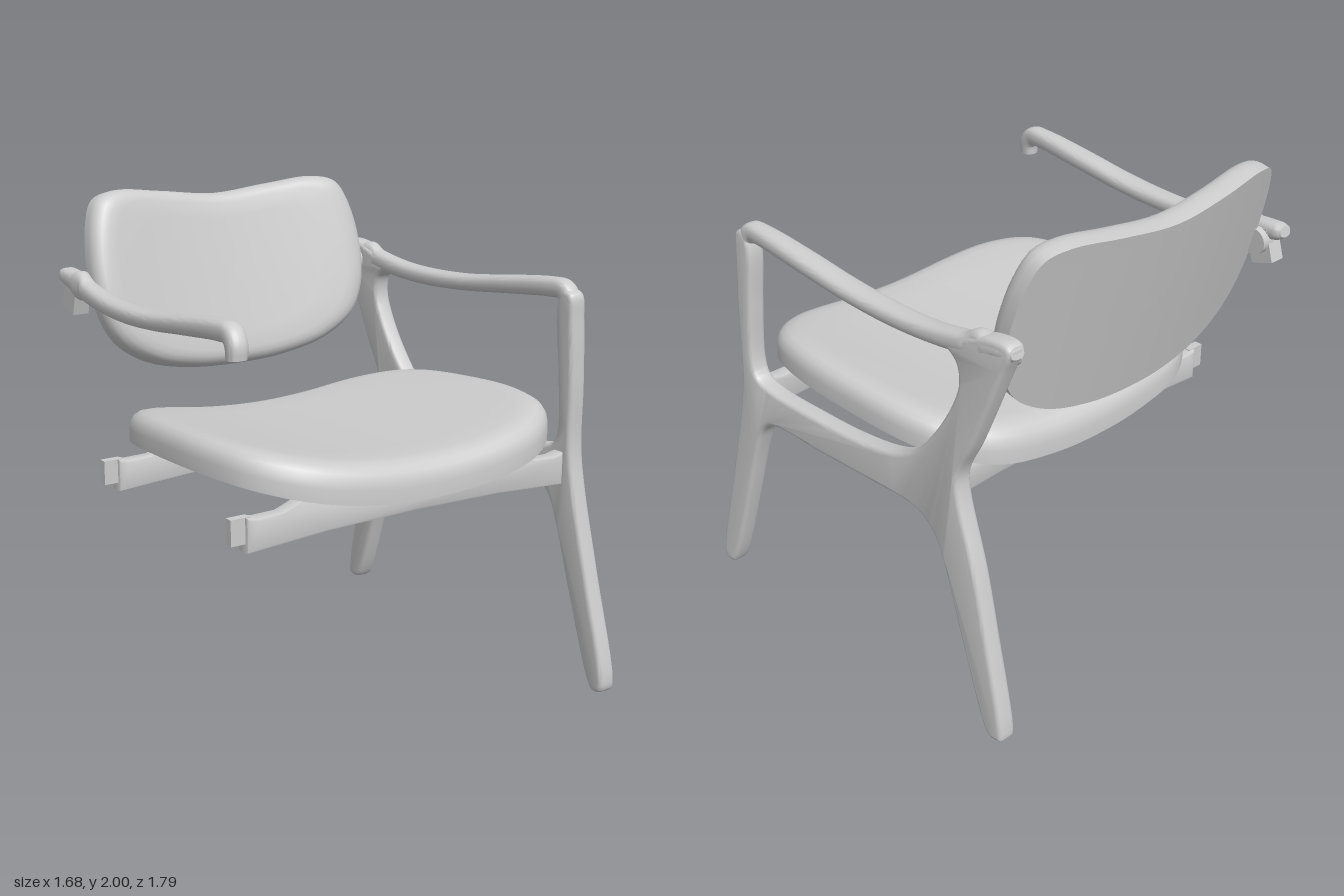
import * as THREE from 'three';
import { toCreasedNormals } from 'three/addons/utils/BufferGeometryUtils.js';

const CX = -0.03; // symmetry plane of the chair
const paint = new THREE.MeshStandardMaterial({ color: 0xcccccc });
paint.name = 'light grey';

function part(name, geo, crease = 0.6) {
  const mesh = new THREE.Mesh(toCreasedNormals(geo, crease), paint);
  mesh.name = name;
  return mesh;
}

// closed smooth outline through 2D points
function smooth(pts, n) {
  const curve = new THREE.CatmullRomCurve3(pts.map(([x, y]) => new THREE.Vector3(x, y, 0)), true, 'centripetal');
  return curve.getPoints(n).slice(0, n).map(p => new THREE.Vector2(p.x, p.y));
}

// skin over rings of equal length, capped at both ends, faces turned outward
function loft(rings) {
  const n = rings[0].length, verts = rings.flat(), idx = [];
  for (let r = 0; r + 1 < rings.length; r++)
    for (let i = 0; i < n; i++) {
      const a = r * n + i, b = r * n + (i + 1) % n;
      idx.push(a, b, b + n, a, b + n, a + n);
    }
  [0, rings.length - 1].forEach((r, end) => {
    const c = verts.length;
    verts.push(rings[r].reduce((s, p) => s.add(p), new THREE.Vector3()).divideScalar(n));
    for (let i = 0; i < n; i++) {
      const a = r * n + i, b = r * n + (i + 1) % n;
      if (end) idx.push(a, b, c); else idx.push(b, a, c);
    }
  });
  let vol = 0;
  const cross = new THREE.Vector3();
  for (let i = 0; i < idx.length; i += 3)
    vol += verts[idx[i]].dot(cross.crossVectors(verts[idx[i + 1]], verts[idx[i + 2]]));
  if (vol < 0) idx.reverse();
  const geo = new THREE.BufferGeometry().setFromPoints(verts);
  geo.setIndex(idx);
  geo.computeVertexNormals();
  return geo;
}

// padded slab: flat sharp back, rounded face; place(u, v, h) bends it into position
function cushion(half, centreV, thick, place) {
  const mirrored = half.slice(1, -1).reverse().map(([x, y]) => [-x, y]);
  const outline = smooth([...half, ...mirrored], 100);
  const section = [[0.03, 0], [0.3, 0], [0.55, 0], [0.8, 0], [1, 0], [1, 0.35], [0.993, 0.55], [0.975, 0.73],
    [0.945, 0.87], [0.9, 0.96], [0.84, 1], [0.65, 1], [0.45, 1], [0.25, 1], [0.03, 1]];
  return loft(section.map(([s, h]) =>
    outline.map(p => place(p.x * s, centreV + (p.y - centreV) * s, h * thick))));
}

// the side frame leans inward toward the top and toes outward at the front
const frameX = (y, z) => 0.775 - 0.033 * y + 0.03 * z;

function sideFrame() {
  // outline in (-z, y): front foot, underside, rear leg, upright, inner curve, front post
  const pts = [[-0.905, 0.05], [-0.89, 0.012], [-0.845, 0.008], [-0.815, 0.05], [-0.7, 0.4], [-0.61, 0.7],
    [-0.565, 0.8], [-0.5, 0.843], [-0.2, 0.85], [0.1, 0.858], [0.36, 0.853], [0.45, 0.8], [0.505, 0.705],
    [0.62, 0.38], [0.745, 0.05], [0.775, 0.015], [0.835, 0.018], [0.84, 0.05], [0.75, 0.44], [0.68, 0.715],
    [0.583, 1.02], [0.583, 1.1], [0.65, 1.24], [0.79, 1.58], [0.825, 1.67], [0.81, 1.695], [0.71, 1.695],
    [0.6, 1.655], [0.51, 1.6], [0.565, 1.545], [0.578, 1.47], [0.545, 1.37], [0.465, 1.235], [0.36, 1.11],
    [0.28, 1.06], [0.2, 1.033], [0, 1.005], [-0.25, 0.997], [-0.52, 1.005], [-0.595, 1.032], [-0.62, 1.1],
    [-0.615, 1.35], [-0.605, 1.6], [-0.64, 1.665], [-0.685, 1.65], [-0.695, 1.55], [-0.7, 1.28],
    [-0.694, 1.02], [-0.72, 0.84], [-0.8, 0.5]];
  const geo = new THREE.ExtrudeGeometry(new THREE.Shape(smooth(pts, 300)), {
    depth: 0.044, bevelThickness: 0.018, bevelSize: 0.018, bevelOffset: -0.018, bevelSegments: 3,
  });
  geo.translate(0, 0, -0.022).rotateY(Math.PI / 2);
  const p = geo.attributes.position;
  for (let i = 0; i < p.count; i++) p.setX(i, p.getX(i) + frameX(p.getY(i), p.getZ(i)));
  return part('sideFrame', geo, 0.7);
}

// swept arm with a down-turned front; stations are z, y, half height, half width
function armrest(name, side) {
  const stations = [[0.648, 1.575, 0.034, 0.036], [0.645, 1.625, 0.038, 0.039], [0.615, 1.66, 0.04, 0.04],
    [0.55, 1.663, 0.04, 0.043], [0.3, 1.638, 0.038, 0.052], [0.04, 1.608, 0.035, 0.054],
    [-0.2, 1.595, 0.036, 0.05], [-0.4, 1.6, 0.037, 0.045], [-0.6, 1.625, 0.042, 0.041],
    [-0.7, 1.648, 0.042, 0.041], [-0.8, 1.662, 0.033, 0.04], [-0.825, 1.668, 0.022, 0.03]];
  const path = new THREE.CatmullRomCurve3(stations.map(s => new THREE.Vector3(0, s[1], s[0])), false, 'centripetal');
  const size = new THREE.CatmullRomCurve3(stations.map(s => new THREE.Vector3(s[2], s[3], 0)));
  const rings = [], steps = 66, pow = v => Math.sign(v) * Math.abs(v) ** 0.75;
  for (let k = 0; k <= steps; k++) {
    const c = path.getPoint(k / steps), t = path.getTangent(k / steps), s = size.getPoint(k / steps);
    rings.push(Array.from({ length: 24 }, (_, i) => {
      const a = i / 24 * Math.PI * 2, h = pow(Math.sin(a)) * s.x;
      const x = frameX(c.y, c.z) - CX + pow(Math.cos(a)) * s.y;
      return new THREE.Vector3(CX + side * x, c.y - t.z * h, c.z + t.y * h);
    }));
  }
  return part(name, loft(rings));
}

// cross rail cut to the seat curve, with an open tenon on the right end
function rail(name, y, z) {
  const g = new THREE.Group();
  g.name = name;
  const half = [[0.75, 0.865], [0.75, 1.0], [0.7, 0.99], [0.6, 0.992], [0.55, 1.01], [0.5, 1.032],
    [0.35, 1.005], [0.2, 0.985], [0, 0.978]];
  const under = [[0, 0.892], [0.4, 0.885]];
  const right = [...half, ...half.slice(0, -1).reverse().map(([x, v]) => [-x, v])];
  const ring = [...right, [-0.4, 0.885], ...under];
  const geo = new THREE.ExtrudeGeometry(new THREE.Shape(ring.map(p => new THREE.Vector2(...p))), {
    depth: 0.046, bevelThickness: 0.01, bevelSize: 0.01, bevelOffset: -0.01, bevelSegments: 2,
  });
  geo.translate(CX, 0, -0.023);
  const tenon = new THREE.BoxGeometry(0.08, 0.1, 0.035).translate(-0.8, 0.95, 0);
  g.add(part('railBody', geo), part('railTenon', tenon));
  g.position.set(0, y, z);
  return g;
}

export function createModel() {
  const chair = new THREE.Group();
  chair.name = 'armchair';

  // seat cushion, dished across its width
  chair.add(part('seat', cushion(
    [[0, 0.8], [0.4, 0.785], [0.58, 0.725], [0.71, 0.6], [0.77, 0.38], [0.772, 0.05], [0.735, -0.24],
      [0.66, -0.4], [0.5, -0.51], [0.25, -0.54], [0, -0.545]], 0.13, 0.155,
    (u, v, h) => new THREE.Vector3(CX + u, 0.95 + 0.04 * v + 0.22 * u * u + h, v))));

  // backrest, leaning back and wrapping forward at the sides
  chair.add(part('backrest', cushion(
    [[0, 1.94], [0.28, 1.968], [0.5, 1.988], [0.6, 1.96], [0.65, 1.86], [0.675, 1.66], [0.655, 1.5],
      [0.59, 1.375], [0.44, 1.275], [0.23, 1.222], [0, 1.208]], 1.6, 0.115,
    (u, v, h) => new THREE.Vector3(CX + u, v + 0.24 * h, -0.8 - 0.26 * (v - 1.6) + 0.2 * u * u + h))));

  // the frame stands on the left side only; both arms are present
  chair.add(sideFrame(), armrest('leftArm', 1), armrest('rightArm', -1));
  chair.add(rail('frontRail', 0, 0.635), rail('rearRail', -0.03, -0.37));

  // round mounts between the backrest and the arms
  for (const side of [1, -1]) {
    const geo = new THREE.CylinderGeometry(0.055, 0.055, 0.06, 28).rotateZ(Math.PI / 2);
    geo.translate(CX + side * 0.685, 1.615, -0.725);
    chair.add(part(side > 0 ? 'leftBackMount' : 'rightBackMount', geo));
  }

  // stub under the rear of the free arm
  const stub = new THREE.BoxGeometry(0.07, 0.14, 0.1).rotateX(0.3);
  stub.translate(-0.75, 1.59, -0.735);
  chair.add(part('rightArmStub', stub));
  return chair;
}
